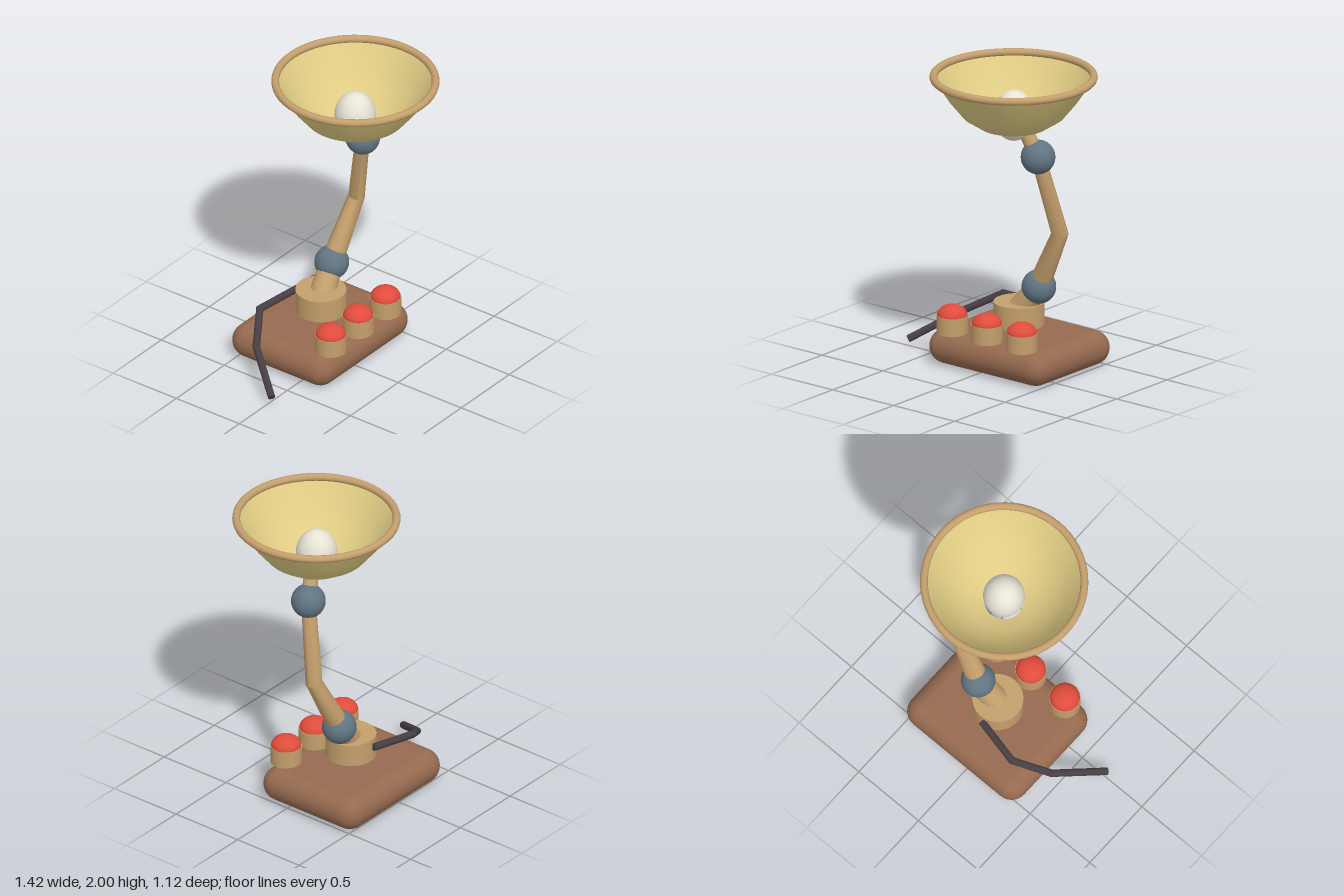
import * as THREE from 'three';
import { toCreasedNormals } from 'three/addons/utils/BufferGeometryUtils.js';
import { RoundedBoxGeometry } from 'three/addons/geometries/RoundedBoxGeometry.js';

const material = (name, color, side = THREE.FrontSide) => {
  const m = new THREE.MeshStandardMaterial({ color, side });
  m.name = name;
  return m;
};

// Capped tube with mitred bends; each point is [x, y, z, radius].
function mitredTube(points, ref, sides = 16) {
  const pts = points.map(p => new THREE.Vector3(p[0], p[1], p[2]));
  const last = pts.length - 1;
  const dirs = pts.slice(1).map((p, i) => p.clone().sub(pts[i]).normalize());
  const rings = pts.map((p, i) => {
    const before = dirs[Math.max(i - 1, 0)], after = dirs[Math.min(i, last - 1)];
    const t = before.clone().add(after).normalize();
    const bend = after.clone().sub(before);
    if (bend.lengthSq() > 0) bend.normalize();
    return { p, t, bend, stretch: 1 / t.dot(after) - 1, r: points[i][3] };
  });
  rings.unshift({ ...rings[0], r: 0 });
  rings.push({ ...rings[rings.length - 1], r: 0 });

  const position = [], index = [];
  rings.forEach(({ p, t, bend, stretch, r }, k) => {
    const u = ref.clone().cross(t).normalize(), v = t.clone().cross(u);
    for (let i = 0; i < sides; i++) {
      const a = i / sides * Math.PI * 2;
      const o = u.clone().multiplyScalar(Math.cos(a) * r).addScaledVector(v, Math.sin(a) * r);
      o.addScaledVector(bend, o.dot(bend) * stretch).add(p);
      position.push(o.x, o.y, o.z);
      if (k === 0) continue;
      const j = (i + 1) % sides, lo = (k - 1) * sides, hi = k * sides;
      if (rings[k - 1].r > 0) index.push(lo + i, lo + j, hi + i);
      if (r > 0) index.push(lo + j, hi + j, hi + i);
    }
  });
  const g = new THREE.BufferGeometry();
  g.setAttribute('position', new THREE.Float32BufferAttribute(position, 3));
  g.setIndex(index);
  return toCreasedNormals(g, 0.6);
}

export function createModel() {
  const model = new THREE.Group();
  model.name = 'deskLamp';
  const brown = material('brown base', 0x966a50);
  const tan = material('tan', 0xc49f6c);
  const steel = material('blue grey joint', 0x617582);
  const red = material('red cap', 0xe04c3c);
  const dark = material('dark cord', 0x463e42);
  const cream = material('pale yellow shade', 0xdfcb83, THREE.DoubleSide);
  const white = material('off white bulb', 0xe8e4d6);

  const add = (name, geometry, mat, x = 0, y = 0, z = 0, parent = model) => {
    const mesh = new THREE.Mesh(geometry, mat);
    mesh.name = name;
    mesh.position.set(x, y, z);
    parent.add(mesh);
    return mesh;
  };

  // Base and raised hub
  add('base', new RoundedBoxGeometry(0.95, 0.224, 0.78, 5, 0.111), brown, 0.065, 0.112, -0.17);
  add('hub', new THREE.CylinderGeometry(0.162, 0.162, 0.15, 32), tan, 0.066, 0.34, -0.164);

  // Three push buttons along the front
  for (const [i, x] of [-0.23, 0.055, 0.34].entries()) {
    const button = new THREE.Group();
    button.name = 'button' + (i + 1);
    button.position.set(x, 0, 0.14);
    model.add(button);
    add('buttonBody', new THREE.CylinderGeometry(0.1, 0.1, 0.115, 32), tan, 0, 0.28, 0, button);
    const cap = new THREE.SphereGeometry(0.096, 32, 10, 0, Math.PI * 2, 0, Math.PI / 2);
    add('buttonCap', cap.scale(1, 0.73, 1), red, 0, 0.337, 0, button);
  }

  // Stem, bent arm and neck, linked by ball joints
  const zAxis = new THREE.Vector3(0, 0, 1), yAxis = new THREE.Vector3(0, 1, 0);
  add('stem', mitredTube([[0.075, 0.36, -0.165, 0.085], [0.21, 0.536, -0.187, 0.075]], zAxis), tan);
  add('arm', mitredTube([
    [0.208, 0.536, -0.187, 0.072],
    [0.415, 0.94, -0.147, 0.053],
    [0.33, 1.46, -0.033, 0.047],
  ], zAxis), tan);
  add('neck', mitredTube([[0.33, 1.46, -0.033, 0.052], [0.23, 1.68, 0.012, 0.045]], zAxis), tan);
  add('lowerJoint', new THREE.SphereGeometry(0.11, 32, 20), steel, 0.21, 0.536, -0.187);
  add('upperJoint', new THREE.SphereGeometry(0.11, 32, 20), steel, 0.33, 1.46, -0.033);

  // Upturned shade, open at the bottom around the bulb
  const profile = [[0.125, 1.622], [0.215, 1.65], [0.322, 1.72], [0.415, 1.835], [0.502, 1.97]]
    .map(([r, y]) => new THREE.Vector2(r, y));
  add('shade', new THREE.LatheGeometry(profile, 48), cream, 0.178, 0, 0.025);
  const rim = new THREE.TorusGeometry(0.507, 0.025, 12, 64).rotateX(Math.PI / 2);
  add('shadeRim', rim, tan, 0.178, 1.975, 0.025);
  add('bulb', new THREE.SphereGeometry(0.132, 32, 20).scale(1, 1.25, 1), white, 0.178, 1.72, 0.023);

  // Cord trailing from the back of the hub
  add('cord', mitredTube([
    [0.05, 0.365, -0.335, 0.024],
    [-0.26, 0.34, -0.4, 0.024],
    [-0.475, 0.215, -0.265, 0.024],
    [-0.69, 0.052, 0.02, 0.024],
  ], yAxis, 12), dark);

  return model;
}
